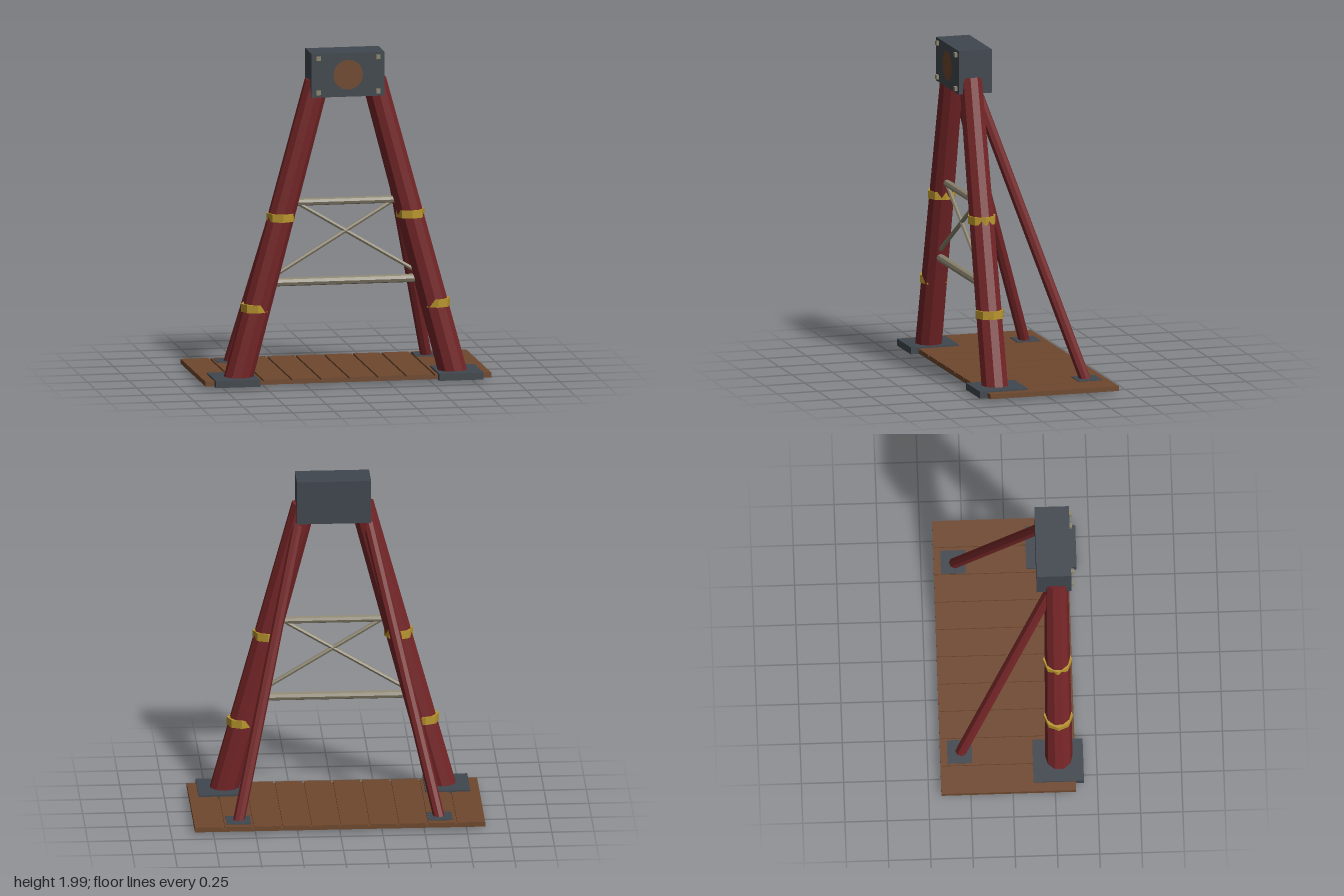
import * as THREE from 'three';

const mat = (name, color, flatShading = true) => {
  const m = new THREE.MeshStandardMaterial({ color, flatShading });
  m.name = name;
  return m;
};

export function createModel() {
  const red = mat('redPaint', 0x742527);
  const wood = mat('brownWood', 0x6f482d);
  const slate = mat('slateMetal', 0x40474e);
  const yellow = mat('yellowBand', 0xb8952d);
  const steel = mat('paleSteel', 0x8c8570);

  const model = new THREE.Group();
  model.name = 'supportTower';

  const add = (name, geometry, material, x = 0, y = 0, z = 0) => {
    const mesh = new THREE.Mesh(geometry, material);
    mesh.name = name;
    mesh.position.set(x, y, z);
    model.add(mesh);
    return mesh;
  };
  // Box given by its extents
  const box = (name, material, x0, x1, y0, y1, z0, z1) =>
    add(name, new THREE.BoxGeometry(x1 - x0, y1 - y0, z1 - z0), material,
      (x0 + x1) / 2, (y0 + y1) / 2, (z0 + z1) / 2);
  // Faceted rod between two points
  const rod = (name, material, a, b, r0, r1, sides) => {
    const from = new THREE.Vector3(...a), to = new THREE.Vector3(...b);
    const dir = to.clone().sub(from);
    const mesh = add(name, new THREE.CylinderGeometry(r1, r0, dir.length(), sides), material);
    mesh.position.copy(from).add(to).multiplyScalar(0.5);
    mesh.quaternion.setFromUnitVectors(new THREE.Vector3(0, 1, 0), dir.normalize());
    return mesh;
  };

  const legZ = 0.277;

  // Plank deck on a thin base
  box('deckBase', wood, -0.86, 0.86, 0.025, 0.043, -0.425, 0.373);
  const planks = 10, pitch = 1.72 / planks;
  for (let i = 0; i < planks; i++) {
    const x = -0.86 + i * pitch;
    box('plank', wood, x + (i ? 0.006 : 0), x + pitch - (i < planks - 1 ? 0.006 : 0),
      0.042, 0.054, -0.425, 0.373);
  }

  for (const s of [-1, 1]) {
    // Main legs with clamped bands
    const leg = rod('mainLeg', red, [s * 0.65, 0.035, legZ], [s * 0.172, 1.82, legZ], 0.086, 0.074, 10);
    leg.scale.z = 0.95;
    for (const [x, y] of [[0.543, 0.475], [0.389, 1.015]]) {
      add('legBand', new THREE.CylinderGeometry(0.086, 0.086, 0.048, 8), yellow, s * x, y, legZ);
    }
    // Rear struts
    rod('rearStrut', red, [s * 0.6, 0.02, -0.31], [s * 0.2, 1.75, 0.25], 0.034, 0.034, 8);
    // Foot plates
    const fx = s * 0.672, rx = s * 0.597;
    box('frontFootPlate', slate, fx - 0.133, fx + 0.133, 0.022, 0.064, 0.123, 0.421);
    box('rearFootPlate', slate, rx - 0.073, rx + 0.073, 0.022, 0.058, -0.382, -0.236);
    // Diagonal cross brace
    rod('diagonalBrace', steel, [-s * 0.46, 0.642, legZ], [s * 0.33, 1.118, legZ], 0.013, 0.013, 6);
  }

  // Horizontal braces
  rod('lowerBrace', steel, [-0.46, 0.621, legZ], [0.46, 0.621, legZ], 0.025, 0.025, 8);
  rod('upperBrace', steel, [-0.34, 1.098, legZ], [0.34, 1.098, legZ], 0.022, 0.022, 8);

  // Head block with corner bolts and round front plate
  box('headBlock', slate, -0.22, 0.22, 1.737, 2.0, 0.16, 0.365);
  for (const x of [-0.18, 0.18]) {
    for (const y of [1.767, 1.972]) {
      box('headBolt', steel, x - 0.013, x + 0.013, y - 0.013, y + 0.013, 0.36, 0.381);
    }
  }
  add('frontDisc', new THREE.CircleGeometry(0.09, 16), wood, 0, 1.869, 0.367);

  return model;
}
